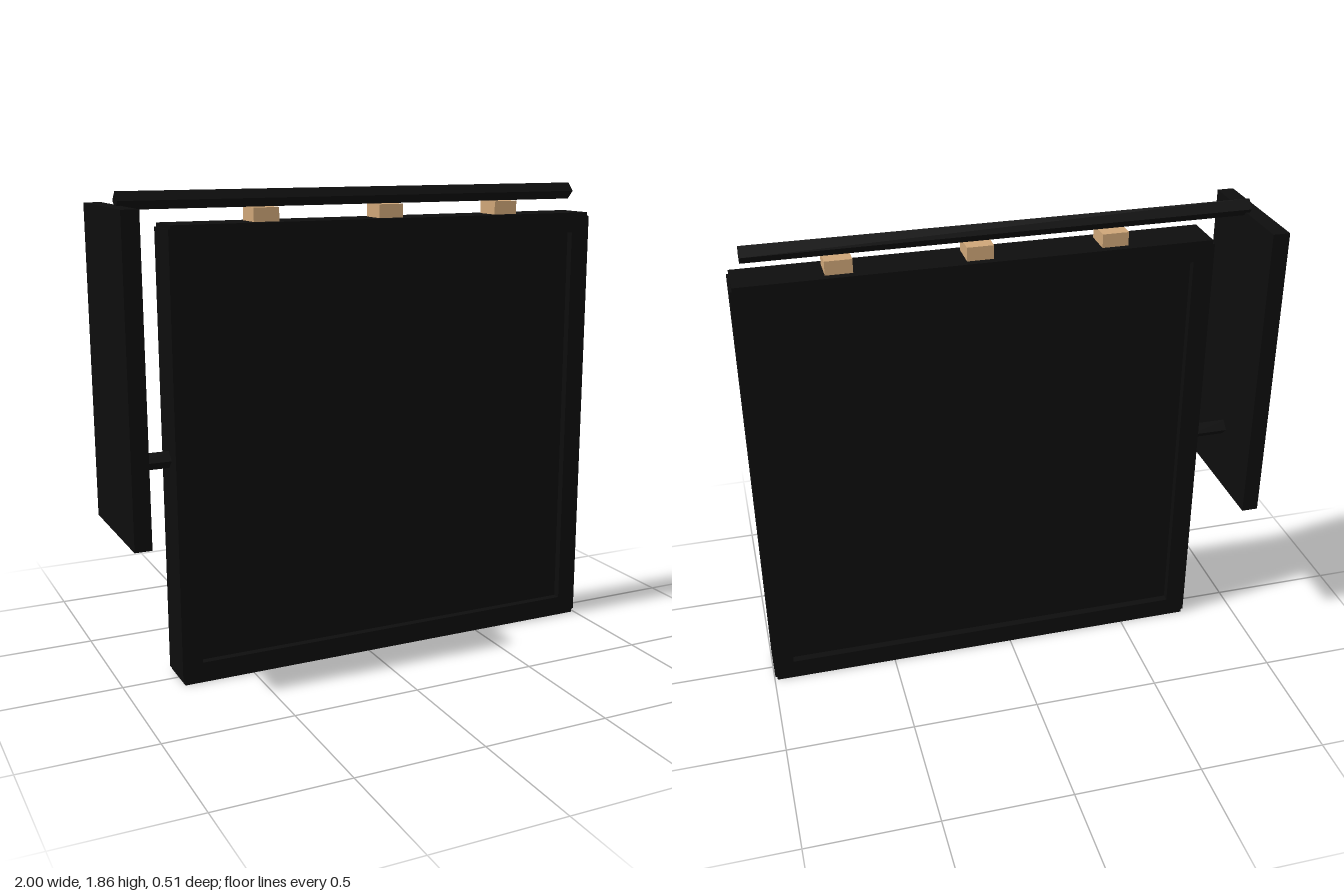
import * as THREE from 'three';

export function createModel() {
  const model = new THREE.Group();
  const black = new THREE.MeshStandardMaterial({ color: 0x0d0d0d });
  black.name = 'black paint';
  const wood = new THREE.MeshStandardMaterial({ color: 0xcda577 });
  wood.name = 'light wood';

  // Box given by its limits on each axis
  function box(name, material, [x0, x1], [y0, y1], [z0, z1]) {
    const mesh = new THREE.Mesh(new THREE.BoxGeometry(x1 - x0, y1 - y0, z1 - z0), material);
    mesh.position.set((x0 + x1) / 2, (y0 + y1) / 2, (z0 + z1) / 2);
    mesh.name = name;
    model.add(mesh);
  }

  // Square bar along x, turned onto its edge
  function diamondBar(name, x0, x1, y) {
    const side = 0.046;
    const mesh = new THREE.Mesh(new THREE.BoxGeometry(x1 - x0, side, side), black);
    mesh.position.set((x0 + x1) / 2, y, 0);
    mesh.rotation.x = Math.PI / 4;
    mesh.name = name;
    model.add(mesh);
  }

  // Main board: recessed panel inside a four-sided frame
  const left = -0.787, right = 0.997, top = 1.738, border = 0.08;
  const depth = [-0.085, 0.085];
  box('panel', black, [left + 0.04, right - 0.04], [0.04, top - 0.04], [-0.055, 0.055]);
  for (const x of [left, right - border]) {
    box('frameStile', black, [x, x + border], [0.015, top - 0.015], depth);
  }
  for (const y of [0, top - border]) {
    box('frameRail', black, [left + 0.008, right - 0.008], [y, y + border], depth);
  }

  // Spacer blocks carrying the top bar
  for (const x of [-0.405, 0.105, 0.615]) {
    box('spacerBlock', wood, [x - 0.05, x + 0.05], [top, 1.79], [-0.055, 0.055]);
  }
  diamondBar('topBar', -0.95, 0.95, 1.823);

  // Upright end plate and its short connecting bar
  box('endPlate', black, [-1, -0.935], [0.615, 1.806], [-0.255, 0.255]);
  diamondBar('connectorBar', -0.95, -0.77, 0.872);

  return model;
}
